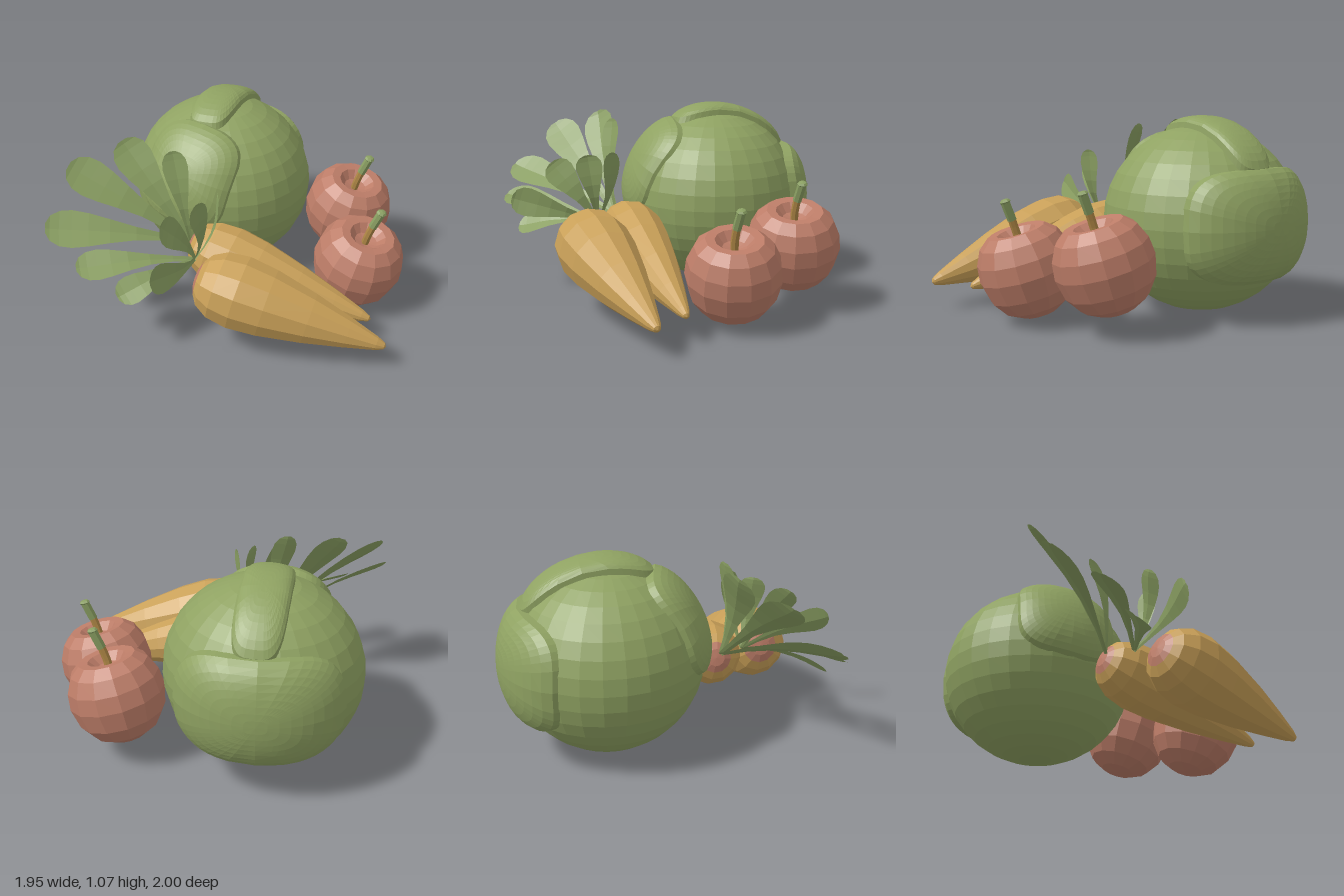
import * as THREE from 'three';

const V = (x, y, z) => new THREE.Vector3(x, y, z);

function mat(name, color, opts = {}) {
  const m = new THREE.MeshStandardMaterial({ color, flatShading: true, ...opts });
  m.name = name;
  return m;
}

function mesh(name, geometry, material) {
  const m = new THREE.Mesh(geometry, material);
  m.name = name;
  return m;
}

// Grid of points fn(i, j) turned into an indexed surface
function surface(rows, cols, fn) {
  const pos = [], idx = [];
  for (let i = 0; i <= rows; i++) {
    for (let j = 0; j <= cols; j++) {
      pos.push(...fn(i / rows, j / cols).toArray());
      if (i < rows && j < cols) {
        const a = i * (cols + 1) + j, b = a + cols + 1;
        idx.push(a, b, a + 1, b, b + 1, a + 1);
      }
    }
  }
  const g = new THREE.BufferGeometry();
  g.setAttribute('position', new THREE.Float32BufferAttribute(pos, 3));
  g.setIndex(idx);
  g.computeVertexNormals();
  return g;
}

// Rounded-rectangle leaf wrapped over the cabbage ball
function wrapLeaf(out, along, halfLength, halfWidth, radius, edgeRadius) {
  const w = out.clone().normalize();
  const u = along.clone().addScaledVector(w, -along.dot(w)).normalize();
  const v = w.clone().cross(u);
  const soft = (c) => Math.sign(c) * Math.pow(Math.abs(c), 0.55);
  return surface(10, 40, (s, k) => {
    const a = k * Math.PI * 2;
    const p = s * halfLength * soft(Math.cos(a));
    const q = s * halfWidth * soft(Math.sin(a));
    const r = edgeRadius + (radius - edgeRadius) * Math.sqrt(1 - Math.pow(s, 5));
    return V(0, 0, 0)
      .addScaledVector(u, r * Math.sin(p) * Math.cos(q))
      .addScaledVector(v, r * Math.sin(q))
      .addScaledVector(w, r * Math.cos(p) * Math.cos(q));
  });
}

// Narrow stalk widening into a round-ended blade, bowed along its length
const bladeProfile = [
  [0, 0.15], [0.2, 0.2], [0.4, 0.36], [0.58, 0.64], [0.72, 0.88],
  [0.83, 1], [0.91, 0.93], [0.97, 0.66], [1, 0.25],
];
function carrotLeaf(base, tip, facing, width) {
  const dir = tip.clone().sub(base);
  const side = dir.clone().cross(facing).normalize();
  const normal = side.clone().cross(dir).normalize();
  return surface(8, 2, (row, k) => {
    const [t, w] = bladeProfile[Math.round(row * 8)];
    const half = w * width;
    const bow = 0.04 * Math.sin(Math.PI * t) + (k === 0.5 ? -0.15 * half : 0);
    return base.clone()
      .addScaledVector(dir, t)
      .addScaledVector(side, (k * 2 - 1) * half)
      .addScaledVector(normal, bow);
  });
}

export function createModel() {
  const model = new THREE.Group();
  model.name = 'vegetablesAndFruit';

  const cabbageGreen = mat('cabbage green', 0x8fa262);
  const leafGreen = mat('leaf green', 0x8a9f62, { side: THREE.DoubleSide });
  const appleRed = mat('apple red', 0xbd7d68);
  const carrotOrange = mat('carrot orange', 0xc9a058);
  const stemBrown = mat('stem brown', 0xb08846);
  const stemGreen = mat('stem green', 0x8a9f62);

  // Cabbage: ball with overlapping wrapped leaves
  const cabbage = new THREE.Group();
  cabbage.name = 'cabbage';
  cabbage.position.set(0.29, 0.515, -0.46);
  const ball = mesh('cabbageBall', new THREE.SphereGeometry(0.525, 28, 18), cabbageGreen);
  ball.scale.set(0.99, 0.975, 1.025);
  cabbage.add(ball);
  const wraps = [
    ['cabbageSideLeaf', V(0.88, 0.02, -0.42), V(0.42, 0, 0.88), 0.98, 0.62, 0.588],
    ['cabbageOuterLeaf', V(-0.85, 0.46, 0.2), V(0.5, 0.85, 0), 0.66, 0.6, 0.562],
    ['cabbageTopLeaf', V(0.23, 1, -0.12), V(0.69, 0, -0.27), 0.8, 0.27, 0.562],
  ];
  for (const [name, out, along, l, w, r] of wraps) {
    cabbage.add(mesh(name, wrapLeaf(out, along, l, w, r, 0.505), cabbageGreen));
  }
  model.add(cabbage);

  // Apples: lathed bodies leaning forward, each with a two-tone bent stem
  const appleProfile = [
    [0, -0.25], [0.1, -0.238], [0.18, -0.19], [0.235, -0.11], [0.26, 0], [0.25, 0.09],
    [0.212, 0.17], [0.155, 0.218], [0.105, 0.214], [0.065, 0.17], [0, 0.15],
  ].map(([r, y]) => new THREE.Vector2(r, y));
  const appleSpots = [[0.375, 0.285, 0.52, 0.3], [0.72, 0.36, 0.185, 0.9]];
  for (const [x, y, z, turn] of appleSpots) {
    const apple = new THREE.Group();
    apple.name = 'apple';
    const body = mesh('appleBody', new THREE.LatheGeometry(appleProfile, 13), appleRed);
    body.rotation.y = turn;
    apple.add(body);
    const path = [V(0, 0.13, 0), V(0, 0.21, 0), V(0.008, 0.28, 0.003), V(0.028, 0.385, 0.012)];
    const lower = new THREE.CatmullRomCurve3(path.slice(0, 3));
    const upper = new THREE.LineCurve3(path[2], path[3]);
    apple.add(mesh('stemLower', new THREE.TubeGeometry(lower, 4, 0.022, 7), stemBrown));
    apple.add(mesh('stemUpper', new THREE.TubeGeometry(upper, 2, 0.025, 7), stemGreen));
    const cap = mesh('stemTip', new THREE.SphereGeometry(0.03, 7, 4), stemGreen);
    cap.position.copy(path[3]);
    cap.scale.y = 0.5;
    apple.add(cap);
    apple.position.set(x, y, z);
    apple.rotation.x = 0.28;
    model.add(apple);
  }

  // Carrots: tapered lathes lying from head to tip, with a fan of leaves
  const carrotProfile = [
    [0, 0], [0.05, 0.004], [0.09, 0.02], [0.135, 0.05], [0.175, 0.12], [0.19, 0.23],
    [0.175, 0.38], [0.13, 0.6], [0.078, 0.8], [0.035, 0.95], [0.018, 0.99], [0, 1],
  ];
  const carrots = [
    {
      head: V(-0.48, 0.41, 0.05), tip: V(-0.01, 0.155, 1.0), girth: 1.1,
      leafBase: V(-0.38, 0.43, -0.05),
      leaves: [
        [V(-0.96, 0.53, -0.36), V(0.1, 0.8, 0.6), 0.09],
        [V(-0.85, 0.6, 0.1), V(0, 0.3, 1), 0.08],
        [V(-0.86, 0.38, -0.16), V(0, 0.8, 0.6), 0.08],
        [V(-0.64, 0.78, -0.03), V(0.2, 0.3, 0.9), 0.085],
        [V(-0.43, 0.83, 0.02), V(0.1, 0.2, 1), 0.075],
        [V(-0.29, 0.85, 0.05), V(0.7, 0, 0.7), 0.06],
      ],
    },
    {
      head: V(-0.26, 0.425, -0.2), tip: V(0.13, 0.15, 0.8), girth: 0.97,
      leafBase: V(-0.28, 0.44, -0.18),
      leaves: [
        [V(-0.95, 0.67, -0.61), V(0, 0.7, 0.7), 0.11],
        [V(-0.7, 0.92, -0.68), V(-0.2, 0.55, 0.75), 0.11],
        [V(-0.42, 1.01, -0.55), V(-0.5, 0.35, 0.75), 0.105],
        [V(-0.31, 1.0, -0.27), V(-0.7, 0.05, 0.7), 0.07],
      ],
    },
  ];
  for (const { head, tip, girth, leafBase, leaves } of carrots) {
    const carrot = new THREE.Group();
    carrot.name = 'carrot';
    const axis = tip.clone().sub(head);
    const length = axis.length();
    const turn = new THREE.Quaternion().setFromUnitVectors(V(0, 1, 0), axis.normalize());
    const points = carrotProfile.map(([r, t]) => new THREE.Vector2(r * girth, t * length));
    // Reddish crown at the head, orange root below it
    const parts = [
      ['carrotCrown', points.slice(0, 3), appleRed],
      ['carrotRoot', points.slice(2), carrotOrange],
    ];
    for (const [name, profile, material] of parts) {
      const part = mesh(name, new THREE.LatheGeometry(profile, 12), material);
      part.position.copy(head);
      part.quaternion.copy(turn);
      carrot.add(part);
    }
    for (const [end, facing, width] of leaves) {
      carrot.add(mesh('carrotLeaf', carrotLeaf(leafBase, end, facing, width), leafGreen));
    }
    model.add(carrot);
  }

  return model;
}
